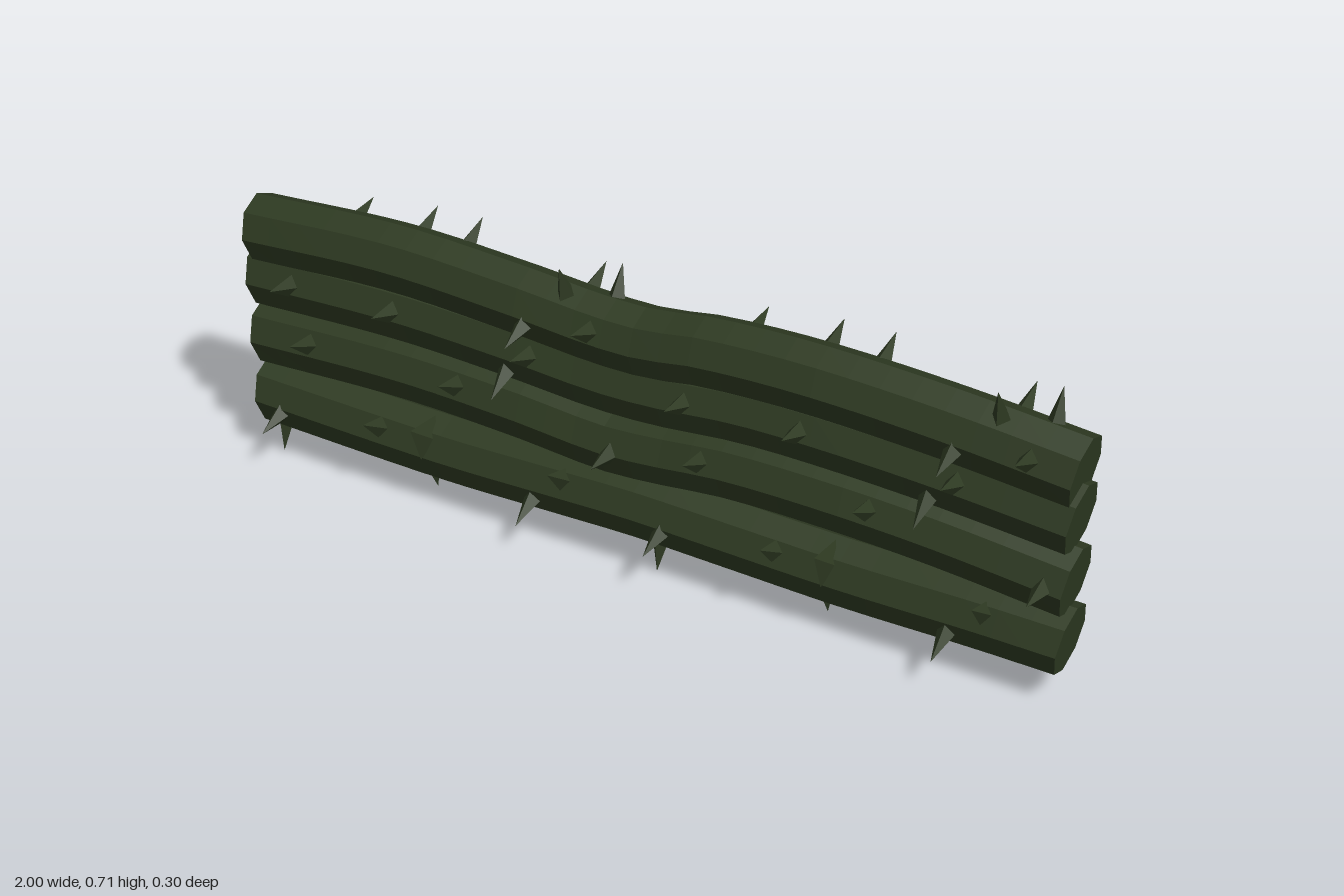
import * as THREE from 'three';

const RADIUS = 0.08, HALF = 0.988, SIDES = 8, RINGS = 28;

// Centre-line height of each vine at chosen x positions, top to bottom
const paths = [
  { name: 'topVine', pts: [[-1, 0.57], [-0.62, 0.592], [-0.3, 0.578], [-0.1, 0.562], [0.02, 0.562], [0.16, 0.582], [0.4, 0.59], [0.7, 0.577], [1, 0.55]] },
  { name: 'upperMiddleVine', pts: [[-1, 0.46], [-0.6, 0.475], [-0.3, 0.465], [-0.1, 0.452], [0.05, 0.455], [0.25, 0.474], [0.45, 0.475], [0.7, 0.465], [1, 0.442]] },
  { name: 'lowerMiddleVine', pts: [[-1, 0.31], [-0.6, 0.327], [-0.3, 0.318], [-0.08, 0.302], [0.05, 0.31], [0.22, 0.328], [0.45, 0.33], [0.7, 0.32], [1, 0.293]] },
  { name: 'bottomVine', pts: [[-1, 0.156], [-0.5, 0.146], [-0.2, 0.153], [0, 0.158], [0.2, 0.154], [0.5, 0.148], [0.8, 0.152], [1, 0.151]] },
];

// Thorns of one half: [vine, x, angle from front towards up in degrees, stretch]
const thorns = [
  [0, -0.26, -15], [0, -0.1, 20], [0, -0.18, 70], [0, -0.085, 110],
  [0, -0.17, 148], [0, -0.48, 146], [0, -0.6, 150], [0, -0.78, 160],
  [1, -0.87, 15], [1, -0.6, 15], [1, -0.25, 18], [1, -0.31, -32],
  [1, -0.22, 158], [1, -0.54, 160], [1, -0.05, 178], [1, -0.82, 175],
  [2, -0.83, 22], [2, -0.44, 25], [2, -0.05, 2],
  [2, -0.67, 150], [2, -0.4, 178], [2, -0.15, 207], [2, -0.77, 205],
  [3, -0.92, -12], [3, -0.65, 30], [3, -0.53, 38, 1.9], [3, -0.175, 35], [3, -0.25, -24],
  [3, -0.82, 155], [3, -0.48, 156], [3, -0.18, 195], [3, -0.6, 196],
  [3, -0.95, -78], [3, -0.565, -102], [3, -0.3, -112], [3, -0.885, -125],
];

function heightCurve(pts) {
  return (x) => {
    let i = 0;
    while (i < pts.length - 2 && x > pts[i + 1][0]) i++;
    const slope = (k) => {
      const a = pts[Math.max(k - 1, 0)], b = pts[Math.min(k + 1, pts.length - 1)];
      return (b[1] - a[1]) / (b[0] - a[0]);
    };
    const [x0, y0] = pts[i], [x1, y1] = pts[i + 1], d = x1 - x0, t = (x - x0) / d;
    const s = t * t * (3 - 2 * t);
    return y0 + (y1 - y0) * s + d * (slope(i) * t * (1 - t) ** 2 - slope(i + 1) * t * t * (1 - t));
  };
}

// Octagonal stem with slanted, capped ends
function vineGeometry(height) {
  const pos = [], index = [];
  for (let r = 0; r <= RINGS; r++) {
    const x = HALF * (2 * r / RINGS - 1), y = height(x);
    for (let s = 0; s < SIDES; s++) {
      const a = s / SIDES * Math.PI * 2, dy = RADIUS * Math.sin(a);
      pos.push(x + 0.13 * Math.sign(x) * x ** 4 * dy, y + dy, RADIUS * 0.96 * Math.cos(a));
    }
  }
  for (let r = 0; r < RINGS; r++) {
    for (let s = 0; s < SIDES; s++) {
      const a = r * SIDES + s, b = r * SIDES + (s + 1) % SIDES, c = a + SIDES, d = b + SIDES;
      index.push(a, c, b, b, c, d);
    }
  }
  const last = RINGS * SIDES;
  for (let s = 1; s < SIDES - 1; s++) {
    index.push(0, s, s + 1, last, last + s + 1, last + s);
  }
  const geo = new THREE.BufferGeometry();
  geo.setAttribute('position', new THREE.Float32BufferAttribute(pos, 3));
  geo.setIndex(index);
  const flat = geo.toNonIndexed();
  flat.computeVertexNormals();
  return flat;
}

export function createModel() {
  const model = new THREE.Group();
  model.name = 'thornVineWall';
  const green = new THREE.MeshStandardMaterial({ color: 0x2e3a22, flatShading: true });
  green.name = 'dark vine green';

  // Stems
  const heights = paths.map((p) => heightCurve(p.pts));
  paths.forEach((p, i) => {
    const vine = new THREE.Mesh(vineGeometry(heights[i]), green);
    vine.name = p.name;
    model.add(vine);
  });

  // Four-sided thorns, the same pattern on both halves
  const thornGeo = new THREE.ConeGeometry(0.026, 0.085, 4).translate(0, 0.0425, 0);
  const group = new THREE.Group();
  group.name = 'thorns';
  for (const shift of [0, 0.995]) {
    for (const [v, x0, deg, stretch = 1] of thorns) {
      const x = x0 + shift, a = deg * Math.PI / 180;
      const thorn = new THREE.Mesh(thornGeo, green);
      thorn.name = 'thorn';
      thorn.position.set(x, heights[v](x) + Math.sin(a) * 0.063, Math.cos(a) * 0.063);
      thorn.rotation.x = Math.PI / 2 - a;
      thorn.scale.set(0.85, 1, 1.05 * stretch);
      group.add(thorn);
    }
  }
  model.add(group);
  return model;
}
